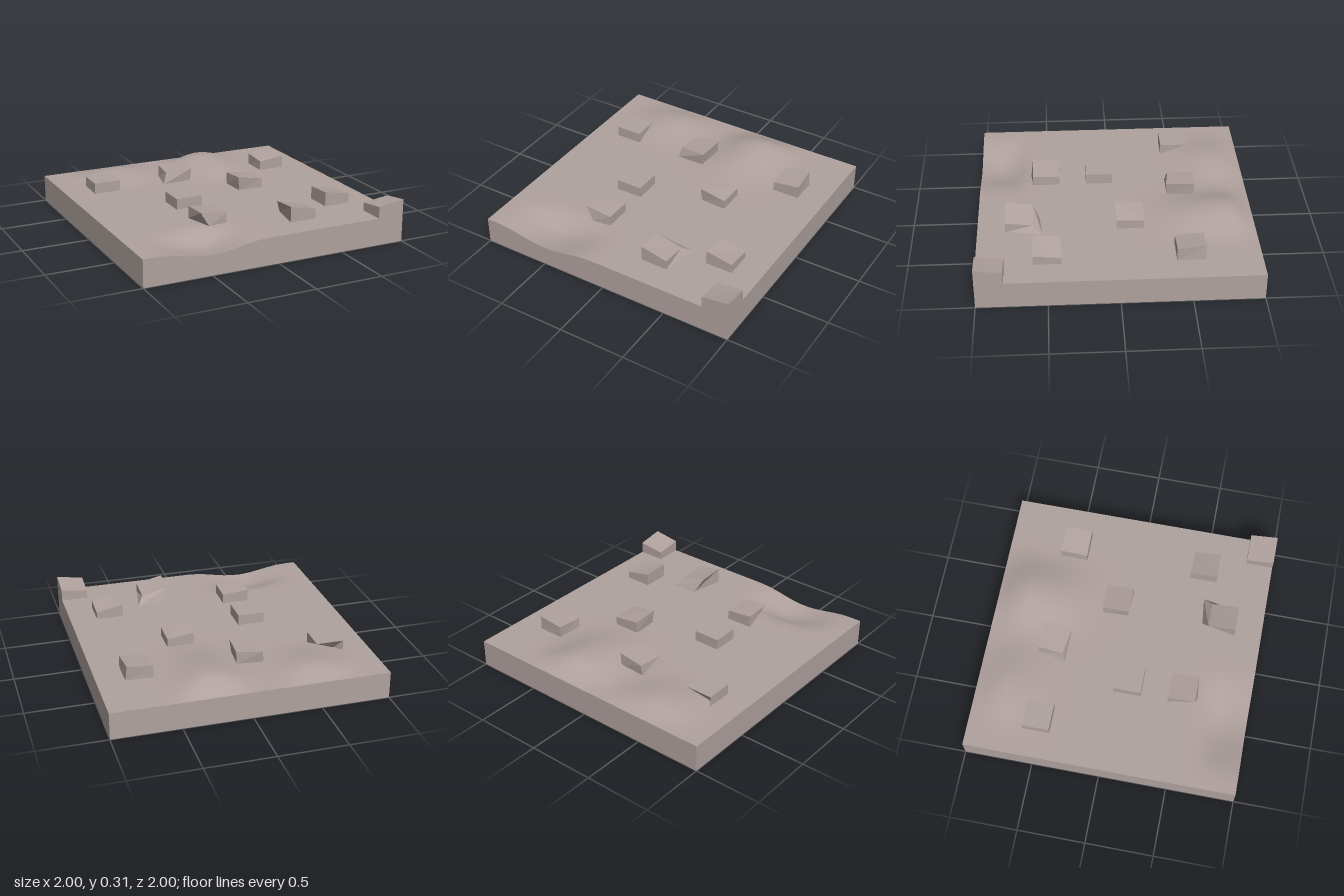
import * as THREE from 'three';

const SURFACE = 0.2;

// Soft bump: cosine falloff with separate reach towards the back and the front
function bump(x, z, cx, cz, rx, back, front, h) {
  const u = Math.abs(x - cx) / rx;
  const w = z < cz ? (cz - z) / back : (z - cz) / front;
  if (u >= 1 || w >= 1) return 0;
  return h * Math.cos(u * Math.PI / 2) ** 2 * Math.cos(w * Math.PI / 2) ** 2;
}

// Height of the ground: two mounds at the back, one hollow at the front
function groundHeight(x, z) {
  return SURFACE
    + bump(x, z, 0.25, -0.82, 0.37, 0.18, 0.7, 0.08)
    + bump(x, z, -0.5, -0.82, 0.4, 0.18, 0.45, 0.05)
    + bump(x, z, -0.5, 0.8, 0.42, 0.2, 0.55, -0.075);
}

// Corner order: back left (-x,-z), back right (+x,-z), front right (+x,+z), front left (-x,+z)
const square = (x, z) => [[-0.1, -0.1], [0.1, -0.1], [0.1, 0.1], [-0.1, 0.1]]
  .map(([dx, dz]) => [x + dx, z + dz]);

// Stone with its own height at each top corner; base and top corners may be replaced
function stone(name, { x, z, heights, base = {}, top = {} }, material) {
  const geometry = new THREE.BoxGeometry(1, 1, 1);
  const p = geometry.attributes.position;
  const corners = square(x, z);
  for (let i = 0; i < p.count; i++) {
    const right = p.getX(i) > 0, front = p.getZ(i) > 0;
    const c = front ? (right ? 2 : 3) : (right ? 1 : 0);
    const upper = p.getY(i) > 0;
    const [px, pz] = (upper ? top[c] : base[c]) ?? corners[c];
    p.setXYZ(i, px, upper ? heights[c] : groundHeight(px, pz) - 0.003, pz);
  }
  geometry.computeVertexNormals();
  const mesh = new THREE.Mesh(geometry, material);
  mesh.name = name;
  return mesh;
}

export function createModel() {
  const group = new THREE.Group();
  group.name = 'groundTile';
  const color = 0xb0a29e;

  // Slab with a softly uneven top
  const slabGeometry = new THREE.BoxGeometry(2, SURFACE, 2, 26, 1, 26);
  slabGeometry.translate(0, SURFACE / 2, 0);
  const p = slabGeometry.attributes.position;
  for (let i = 0; i < p.count; i++) {
    if (p.getY(i) > 0.1) p.setY(i, groundHeight(p.getX(i), p.getZ(i)));
  }
  slabGeometry.computeVertexNormals();
  const slab = new THREE.Mesh(slabGeometry, new THREE.MeshStandardMaterial({ color }));
  slab.name = 'slab';
  group.add(slab);

  // Tilted and skewed stones scattered over the slab
  const stoneMaterial = new THREE.MeshStandardMaterial({ color, flatShading: true });
  const stones = [
    { x: -0.7, z: -0.5, heights: [0.28, 0.28, 0.28, 0.28], base: { 1: [-0.75, -0.54] } },
    {
      x: -0.1, z: -0.5, heights: [0.285, 0.305, 0.3, 0.28],
      base: { 0: [-0.2, -0.6], 2: [-0.02, -0.4], 3: [-0.24, -0.4] },
      top: { 0: [-0.19, -0.61], 1: [0.005, -0.6], 2: [-0.01, -0.39], 3: [-0.21, -0.42] },
    },
    {
      x: 0.7, z: -0.5, heights: [0.285, 0.31, 0.295, 0.27],
      top: { 0: [0.6, -0.6], 1: [0.79, -0.605] }, base: { 3: [0.595, -0.4] },
    },
    { x: 0.3, z: -0.1, heights: [0.29, 0.265, 0.27, 0.305], base: { 3: [0.21, -0.01] } },
    { x: -0.3, z: 0.1, heights: [0.28, 0.28, 0.28, 0.28] },
    { x: -0.3, z: 0.5, heights: [0.29, 0.27, 0.275, 0.3], base: { 3: [-0.34, 0.615] } },
    { x: 0.7, z: 0.5, heights: [0.295, 0.25, 0.27, 0.305] },
    {
      x: 0.3, z: 0.7, heights: [0.3, 0.25, 0.27, 0.315],
      base: { 0: [0.25, 0.55], 1: [0.45, 0.53] },
    },
    { x: 0.9, z: 0.9, heights: [0.26, 0.285, 0.315, 0.285] },
  ];
  stones.forEach((s, i) => group.add(stone(`stone${i + 1}`, s, stoneMaterial)));

  return group;
}
